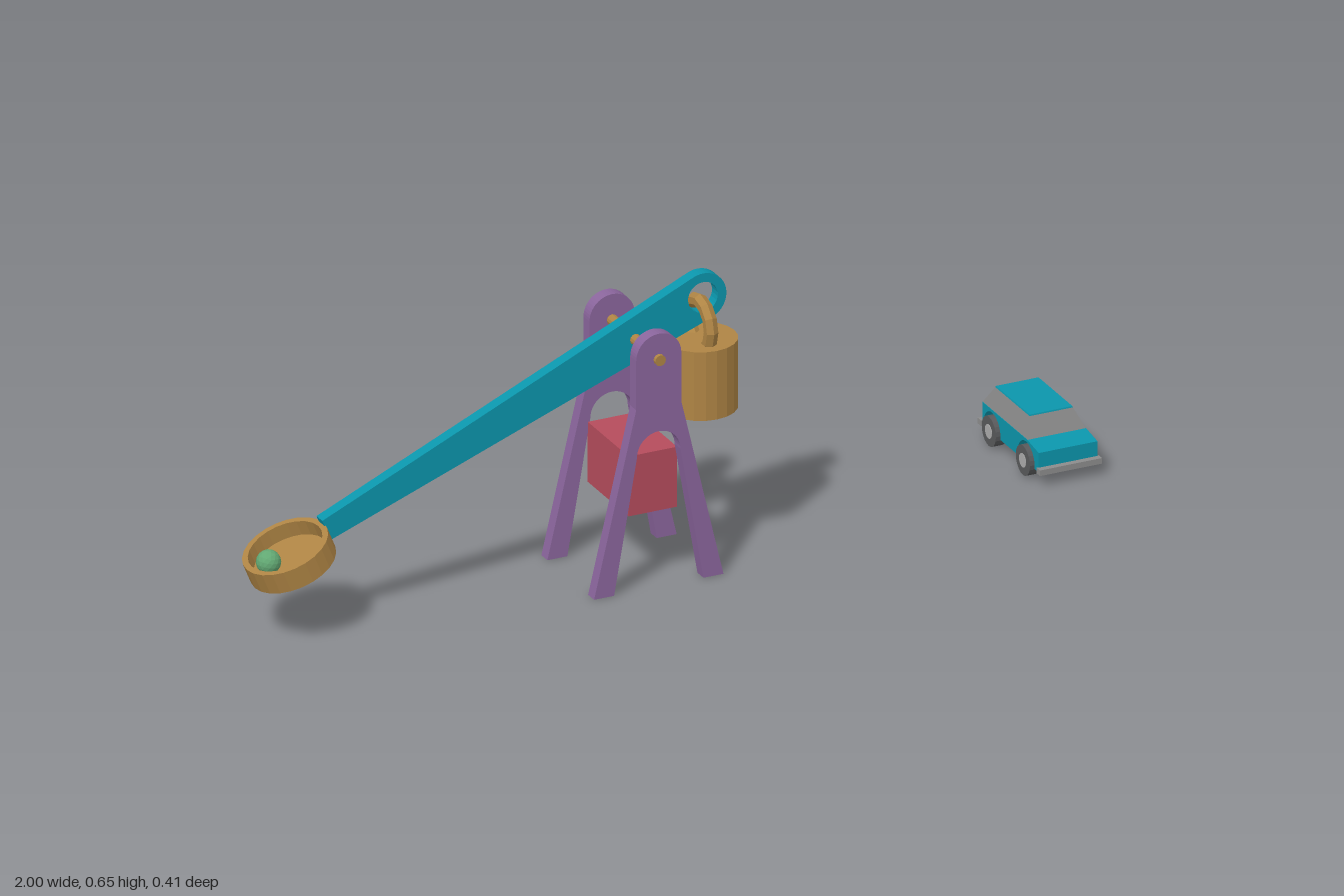
import * as THREE from 'three';
import { ConvexGeometry } from 'three/addons/geometries/ConvexGeometry.js';

const COLORS = { teal: 0x0b95ab, purple: 0x8a659c, red: 0xb54c5c, wood: 0xae8444, green: 0x62a873,
  tyre: 0x58595b, hub: 0xababab, glass: 0x858585, bumper: 0x8c8c8c };
const MATS = {};
for (const key in COLORS) MATS[key] = new THREE.MeshStandardMaterial({ color: COLORS[key], flatShading: true });

const MID_Z = 0.068; // centre plane of the catapult
const AXLE_X = -0.095, AXLE_Y = 0.528;

function add(parent, name, geometry, mat, x = 0, y = 0, z = 0) {
  const mesh = new THREE.Mesh(geometry, MATS[mat]);
  mesh.name = name;
  mesh.position.set(x, y, z);
  parent.add(mesh);
  return mesh;
}

// Extrusion centred on its own thickness
function plate(shape, depth, curveSegments = 12) {
  const g = new THREE.ExtrudeGeometry(shape, { depth, bevelEnabled: false, curveSegments });
  return g.translate(0, 0, -depth / 2);
}

// A-shaped side frame with round head and arched opening
function frameShape() {
  const s = new THREE.Shape();
  s.moveTo(0.105, 0);
  s.lineTo(0.152, 0);
  s.lineTo(0.053, 0.42);
  s.absarc(0, 0.534, 0.053, 0, Math.PI, false);
  s.lineTo(-0.053, 0.42);
  s.lineTo(-0.152, 0);
  s.lineTo(-0.105, 0);
  s.absarc(0, 0.31, 0.051, Math.PI, 0, true);
  s.closePath();
  return s;
}

// Tapered arm with an eye at the origin
function armShape() {
  const s = new THREE.Shape();
  s.moveTo(-0.957, 0.026);
  s.lineTo(-0.957, -0.026);
  s.absarc(0, 0, 0.055, -Math.PI / 2, Math.PI / 2, false);
  s.closePath();
  const hole = new THREE.Path();
  hole.absarc(0, 0, 0.035, 0, Math.PI * 2, true);
  s.holes.push(hole);
  return s;
}

function createCatapult() {
  const g = new THREE.Group();
  g.name = 'catapult';
  g.position.z = MID_Z;
  for (const side of [1, -1]) add(g, 'sideFrame', plate(frameShape(), 0.029), 'purple', AXLE_X, 0, side * 0.1125);
  add(g, 'crossBlock', new THREE.BoxGeometry(0.114, 0.139, 0.197), 'red', AXLE_X, 0.2325, 0);
  add(g, 'axle', new THREE.CylinderGeometry(0.0125, 0.0125, 0.272, 12).rotateX(Math.PI / 2), 'wood', AXLE_X, AXLE_Y, 0);

  // Throwing arm with its bucket and ball
  const arm = new THREE.Group();
  arm.name = 'throwingArm';
  arm.position.set(0.064, 0.594, 0);
  arm.rotation.z = 0.391;
  g.add(arm);
  add(arm, 'beam', plate(armShape(), 0.028), 'teal');
  const bowl = [[0, 0], [0.097, 0], [0.097, 0.05], [0.084, 0.05], [0.084, 0.014], [0, 0.014]];
  add(arm, 'bucket', new THREE.LatheGeometry(bowl.map(p => new THREE.Vector2(...p)), 24), 'wood', -1.05, -0.038, 0);
  add(arm, 'ball', new THREE.IcosahedronGeometry(0.027, 2), 'green', -1.098, 0.004, 0.005);

  // Counterweight hanging from the eye
  add(g, 'counterweight', new THREE.CylinderGeometry(0.08, 0.08, 0.159, 20), 'wood', 0.064, 0.4175, 0.002);
  add(g, 'weightRing', new THREE.TorusGeometry(0.053, 0.0155, 6, 12).rotateY(Math.PI / 2), 'wood', 0.064, 0.528, 0);
  return g;
}

// Car side profile: x runs along the length, both wheel arches cut out
function bodyShape() {
  const s = new THREE.Shape();
  s.moveTo(-0.19, 0.03);
  s.lineTo(-0.184, 0.03);
  s.absarc(-0.143, 0.036, 0.041, Math.PI, 0, true);
  s.lineTo(-0.102, 0.03);
  s.lineTo(-0.02, 0.03);
  s.absarc(0.021, 0.036, 0.041, Math.PI, 0, true);
  s.lineTo(0.062, 0.03);
  s.lineTo(0.082, 0.03);
  s.lineTo(0.082, 0.075);
  s.lineTo(0.027, 0.083);
  s.lineTo(-0.19, 0.083);
  s.closePath();
  return s;
}

// Solid between two level rectangles, each given as [halfWidth, y, zBack, zFront]
function frustum(...levels) {
  const pts = [];
  for (const [w, y, z0, z1] of levels)
    for (const x of [-w, w]) for (const z of [z0, z1]) pts.push(new THREE.Vector3(x, y, z));
  return new ConvexGeometry(pts);
}

function createCar() {
  const g = new THREE.Group();
  g.name = 'car';
  g.position.x = 0.922;
  add(g, 'body', plate(bodyShape(), 0.138).rotateY(-Math.PI / 2), 'teal');
  add(g, 'rearInnerArch', new THREE.BoxGeometry(0.096, 0.05, 0.088), 'teal', 0, 0.056, -0.143);
  add(g, 'windows', frustum([0.068, 0.083, -0.19, 0.027], [0.051, 0.124, -0.164, 0.001]), 'glass');
  add(g, 'roof', frustum([0.051, 0.124, -0.164, 0.001], [0.05, 0.127, -0.163, 0]), 'teal');
  add(g, 'frontBumper', new THREE.BoxGeometry(0.146, 0.013, 0.016), 'bumper', 0, 0.0345, 0.088);
  add(g, 'rearBumper', new THREE.BoxGeometry(0.146, 0.013, 0.016), 'bumper', 0, 0.0345, -0.196);
  for (const z of [0.021, -0.143]) {
    add(g, 'wheelAxle', new THREE.CylinderGeometry(0.008, 0.008, 0.13, 10).rotateZ(Math.PI / 2), 'tyre', 0, 0.035, z);
    for (const side of [1, -1]) {
      add(g, 'tyre', new THREE.CylinderGeometry(0.034, 0.034, 0.024, 20).rotateZ(Math.PI / 2), 'tyre', side * 0.0645, 0.035, z);
      add(g, 'hub', new THREE.CylinderGeometry(0.016, 0.016, 0.004, 16).rotateZ(Math.PI / 2), 'hub', side * 0.076, 0.035, z);
    }
  }
  return g;
}

export function createModel() {
  const model = new THREE.Group();
  model.name = 'catapultAndCar';
  model.add(createCatapult(), createCar());
  return model;
}
